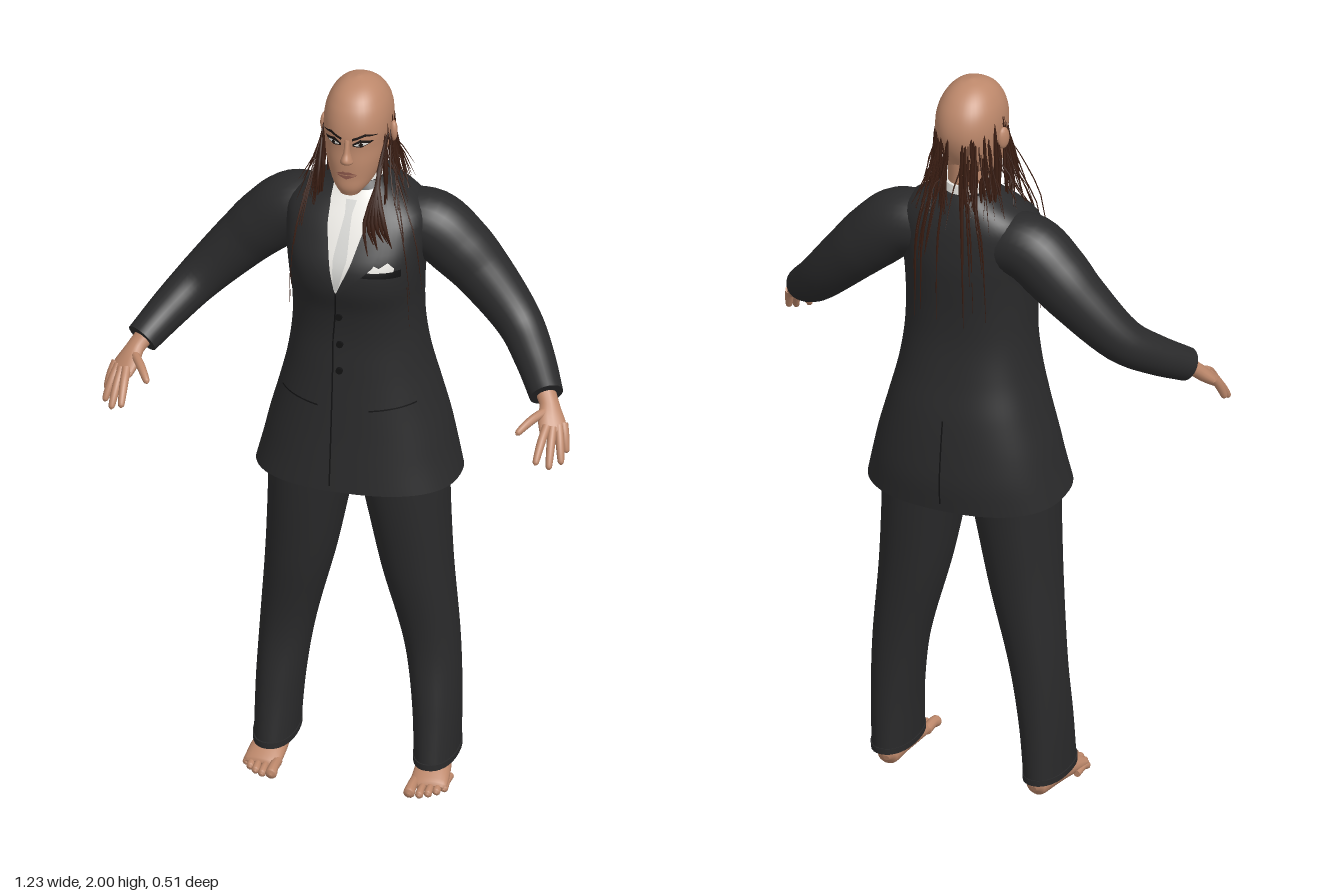
import * as THREE from 'three';

const mat = (name, color) => Object.assign(new THREE.MeshStandardMaterial({ color }), { name });
const V = (a) => new THREE.Vector3(...a);
const mirror = (p, s) => [p[0] * s, p[1], p[2]];

// Skin a list of closed rings, with flat caps on separate vertices
function skin(rings) {
  const n = rings[0].length, pos = [], idx = [];
  rings.forEach((r) => r.forEach((p) => pos.push(p.x, p.y, p.z)));
  for (let i = 0; i < rings.length - 1; i++) for (let j = 0; j < n; j++) {
    const a = i * n + j, b = i * n + (j + 1) % n;
    idx.push(a, b, a + n, b, b + n, a + n);
  }
  [rings[0], rings[rings.length - 1]].forEach((r, end) => {
    const base = pos.length / 3;
    const mid = r.reduce((s, p) => s.add(p), new THREE.Vector3()).divideScalar(n);
    [mid, ...r].forEach((p) => pos.push(p.x, p.y, p.z));
    for (let j = 0; j < n; j++) {
      const a = base + 1 + j, b = base + 1 + (j + 1) % n;
      idx.push(base, end ? a : b, end ? b : a);
    }
  });
  const g = new THREE.BufferGeometry();
  g.setAttribute('position', new THREE.Float32BufferAttribute(pos, 3));
  g.setIndex(idx);
  g.computeVertexNormals();
  return g;
}

// Smooth interpolation of rows [key, ...values]
function rowCurve(rows) {
  const size = rows[0].length - 1;
  const f = new THREE.CubicInterpolant(rows.map((r) => r[0]), rows.flatMap((r) => r.slice(1)), size, new Float32Array(size));
  return (k) => Array.from(f.evaluate(k));
}

// Upright loft; rows are [y, half width, front z, back z, centre x]
function loft(rows, { p = 2, n = 32, steps = 24, tilt = 0 } = {}) {
  const f = rowCurve(rows), y0 = rows[0][0], y1 = rows[rows.length - 1][0], rings = [];
  const pw = (v) => Math.sign(v) * Math.abs(v) ** (2 / p);
  for (let i = 0; i <= steps; i++) {
    const y = y0 + (y1 - y0) * i / steps, [rx, zf, zb, cx = 0] = f(y);
    rings.push(Array.from({ length: n }, (_, j) => {
      const a = j / n * Math.PI * 2;
      const z = (zf + zb) / 2 - (zf - zb) / 2 * pw(Math.sin(a));
      return new THREE.Vector3(cx + rx * pw(Math.cos(a)), y + tilt * (z + 0.06) * Math.max(0, 1 - (y - y0) / 0.15), z);
    }));
  }
  return skin(rings);
}

// Tube through points with a [width, thickness] at each one
function limb(pts, radii, { side = [1, 0, 0], n = 12, steps = 16 } = {}) {
  const curve = new THREE.CatmullRomCurve3(pts.map(V)), f = rowCurve(radii.map((r, i) => [i, ...[r].flat(), ...(r.length ? [] : [r])]));
  const rings = [];
  for (let i = 0; i <= steps; i++) {
    const t = i / steps, c = curve.getPoint(t), T = curve.getTangent(t), [w, h] = f(t * (pts.length - 1));
    const S = V(side).addScaledVector(T, -V(side).dot(T)).normalize(), N = T.clone().cross(S);
    rings.push(Array.from({ length: n }, (_, j) => {
      const a = j / n * Math.PI * 2;
      return c.clone().addScaledVector(S, w * Math.cos(a)).addScaledVector(N, h * Math.sin(a));
    }));
  }
  return skin(rings);
}

// Depth of the front (or back, dir = -1) of a loft at x, y
function surface(rows, p, dir = 1) {
  const f = rowCurve(rows);
  return (x, y) => {
    const [rx, zf, zb] = f(y);
    return (zf + zb) / 2 + dir * (zf - zb) / 2 * Math.max(0, 1 - Math.min(1, Math.abs(x / rx)) ** p) ** (1 / p);
  };
}

// Thin plate between two [x, y] outlines, laid on a surface
function patch(surf, A, B, lift = 0.004, dir = 1) {
  const at = (L, t) => {
    const k = Math.min(L.length - 2, Math.floor(t * (L.length - 1))), u = t * (L.length - 1) - k;
    return [0, 1].map((c) => L[k][c] + (L[k + 1][c] - L[k][c]) * u);
  };
  const g = new THREE.PlaneGeometry(1, 1, 8, 16), pos = g.attributes.position;
  for (let i = 0; i < pos.count; i++) {
    const u = pos.getX(i) + 0.5, t = 0.5 - pos.getY(i), a = at(A, t), b = at(B, t);
    const x = a[0] + (b[0] - a[0]) * u, y = a[1] + (b[1] - a[1]) * u;
    pos.setXYZ(i, x, y, surf(x, y) + lift * dir);
  }
  const a = at(A, 0.5), b = at(B, 0.5), c = at(A, 0.6);
  const area = (b[0] - a[0]) * (c[1] - a[1]) - (b[1] - a[1]) * (c[0] - a[0]);
  if (area * dir > 0) g.index.array.reverse();
  g.computeVertexNormals();
  return g;
}

const TORSO = [[0.86, 0.265, 0.13, -0.25], [0.93, 0.248, 0.122, -0.254], [1, 0.232, 0.114, -0.248], [1.1, 0.205, 0.104, -0.234],
  [1.2, 0.181, 0.095, -0.212], [1.3, 0.168, 0.09, -0.196], [1.38, 0.167, 0.1, -0.194], [1.46, 0.172, 0.124, -0.198],
  [1.52, 0.178, 0.122, -0.2], [1.58, 0.184, 0.09, -0.195], [1.63, 0.178, 0.055, -0.186], [1.665, 0.14, 0.025, -0.175],
  [1.69, 0.094, 0.003, -0.166], [1.712, 0.066, -0.012, -0.156]];
const HEAD = [[1.71, 0.026, 0.062, 0.005], [1.73, 0.046, 0.07, -0.06], [1.76, 0.064, 0.07, -0.115], [1.8, 0.076, 0.07, -0.142],
  [1.84, 0.082, 0.067, -0.16], [1.88, 0.086, 0.067, -0.167], [1.92, 0.083, 0.058, -0.16], [1.95, 0.073, 0.043, -0.144],
  [1.975, 0.056, 0.02, -0.12], [1.99, 0.037, -0.007, -0.095], [1.997, 0.02, -0.03, -0.075], [2, 0.004, -0.046, -0.056]];
const LEG = [[0.055, 0.054, 0.07, -0.145, 0.211], [0.2, 0.06, 0.045, -0.147, 0.206], [0.36, 0.069, 0.026, -0.151, 0.191], [0.6, 0.09, 0.054, -0.165, 0.152],
  [0.75, 0.102, 0.07, -0.176, 0.133], [0.85, 0.111, 0.077, -0.182, 0.121], [0.95, 0.115, 0.08, -0.19, 0.11]];

export function createModel() {
  const root = new THREE.Group();
  const suit = mat('suit black', 0x2a2a2b), seam = mat('seam black', 0x121213), flesh = mat('skin', 0xbd886b);
  const white = mat('shirt white', 0xe6e4df), tieGrey = mat('tie grey', 0xcfcfcc), hair = mat('hair brown', 0x3a1d12);
  const lip = mat('lips', 0x8f594c), dark = mat('eye dark', 0x1c1513);
  const add = (name, geo, m, parent = root) => {
    const mesh = new THREE.Mesh(geo, m);
    mesh.name = name;
    parent.add(mesh);
    return mesh;
  };
  const group = (name) => { const g = new THREE.Group(); g.name = name; root.add(g); return g; };
  const chest = surface(TORSO, 2.4), back = surface(TORSO, 2.4, -1), face = surface(HEAD, 2.2);
  const flip = (L, s) => L.map(([x, y]) => [x * s, y]);

  // Jacket, shirt front and tie
  add('jacket', loft(TORSO, { p: 2.4, n: 64, steps: 56, tilt: 0.055 }), suit);
  add('shirtFront', patch(chest, [[-0.056, 1.695], [-0.052, 1.62], [-0.034, 1.54], [-0.016, 1.455]], [[0.056, 1.695], [0.046, 1.62], [0.024, 1.54], [-0.012, 1.455]]), white);
  add('tie', patch(chest, [[-0.014, 1.675], [-0.01, 1.645], [-0.024, 1.55], [-0.018, 1.465]], [[0.014, 1.675], [0.008, 1.645], [0.013, 1.55], [-0.008, 1.465]], 0.007), tieGrey);
  add('shirtCollar', loft([[1.67, 0.07, 0.006, -0.154], [1.7, 0.063, -0.002, -0.15], [1.73, 0.058, -0.008, -0.145]], { tilt: -0.08, steps: 6 }), white);
  add('frontSeam', patch(chest, [[-0.016, 1.455], [-0.032, 1.3], [-0.032, 0.885]], [[-0.012, 1.455], [-0.028, 1.3], [-0.028, 0.885]], 0.002), seam);
  add('backVent', patch(back, [[-0.002, 1.1], [-0.002, 0.87]], [[0.002, 1.1], [0.002, 0.87]], 0.002, -1), seam);
  for (const y of [1.37, 1.285, 1.21]) {
    const b = add('button', new THREE.CylinderGeometry(0.009, 0.009, 0.008, 14), seam);
    b.rotation.x = Math.PI / 2;
    b.position.set(-0.012, y, chest(-0.012, y) + 0.003);
  }
  add('breastPocket', patch(chest, [[0.05, 1.525], [0.145, 1.52]], [[0.05, 1.508], [0.145, 1.5]]), seam);
  add('pocketSquare', patch(chest, [[0.06, 1.53], [0.08, 1.541], [0.095, 1.533], [0.115, 1.545], [0.13, 1.53]], [[0.06, 1.523], [0.13, 1.52]], 0.007), white);

  for (const s of [1, -1]) {
    const P = (pts) => pts.map((p) => mirror(p, s)), tag = s > 0 ? 'left' : 'right';
    const rim = s > 0 ? [[0.056, 1.69], [0.046, 1.62], [0.024, 1.54], [-0.012, 1.455]] : [[-0.056, 1.69], [-0.052, 1.62], [-0.034, 1.54], [-0.016, 1.455]];
    add(tag + 'Lapel', patch(chest, rim, flip([[0.085, 1.685], [0.105, 1.62], [0.085, 1.54], [s * -0.012, 1.45]], s), 0.008), suit);
    add(tag + 'CollarWing', patch(chest, flip([[0.008, 1.69], [0.02, 1.665], [0.04, 1.638]], s), flip([[0.055, 1.7], [0.055, 1.67], [0.046, 1.642]], s), 0.009), white);
    add(tag + 'PocketFlap', patch(chest, flip([[0.065, 1.128], [0.175, 1.14]], s), flip([[0.067, 1.108], [0.177, 1.118]], s), 0.007), suit);
    add(tag + 'PocketEdge', patch(chest, flip([[0.067, 1.108], [0.177, 1.118]], s), flip([[0.067, 1.104], [0.177, 1.114]], s), 0.007), seam);

    // Sleeve and cuff
    add(tag + 'Sleeve', limb(P([[0.09, 1.575, -0.09], [0.18, 1.57, -0.092], [0.25, 1.515, -0.093], [0.31, 1.455, -0.09], [0.42, 1.338, -0.055], [0.48, 1.277, 0.012], [0.533, 1.222, 0.092]]),
      [0.08, 0.088, 0.085, 0.076, 0.06, 0.052, 0.044], { side: [0, 0, 1], n: 28, steps: 36 }), suit);

    // Hand: palm, four fingers and thumb
    const hand = group(tag + 'Hand');
    add('palm', limb(P([[0.525, 1.23, 0.08], [0.545, 1.205, 0.108], [0.557, 1.18, 0.135], [0.571, 1.155, 0.16], [0.574, 1.148, 0.166]]),
      [[0.027, 0.024], [0.026, 0.02], [0.035, 0.019], [0.037, 0.014], [0.03, 0.007]], { side: [s * 0.7, 0, -0.5], n: 16 }), flesh, hand);
    const fingers = [[[0.592, 1.162, 0.139], [0.607, 1.105, 0.168]], [[0.583, 1.158, 0.153], [0.602, 1.089, 0.203]],
      [[0.569, 1.157, 0.168], [0.577, 1.086, 0.232]], [[0.553, 1.164, 0.177], [0.546, 1.105, 0.25]], [[0.538, 1.193, 0.137], [0.486, 1.166, 0.214]]];
    fingers.forEach(([a, b], i) => {
      const q = (t, up) => [a[0] + (b[0] - a[0]) * t, a[1] + (b[1] - a[1]) * t + up, a[2] + (b[2] - a[2]) * t];
      add(i < 4 ? 'finger' : 'thumb', limb(P([q(-0.15, 0), q(0.3, 0.006), q(0.65, 0.005), q(0.94, 0), q(1, -0.001)]), [0.012, 0.0115, 0.0105, 0.008, 0.002], { n: 10 }), flesh, hand);
    });

    // Trouser leg with hem
    const rows = LEG.map((r) => [...r.slice(0, 4), r[4] * s]);
    add(tag + 'TrouserLeg', loft(rows, { p: 2.2, n: 36, steps: 36 }), suit);
    add(tag + 'TrouserHem', loft([[0.05, 0.056, 0.073, -0.147, 0.211 * s], [0.066, 0.057, 0.072, -0.147, 0.211 * s]], { p: 2.2, steps: 2 }), suit);

    // Bare foot with five toes
    const foot = group(tag + 'Foot');
    add('sole', limb(P([[0.205, 0.03, -0.126], [0.206, 0.034, -0.115], [0.21, 0.042, -0.05], [0.216, 0.031, 0.03], [0.22, 0.017, 0.085], [0.221, 0.014, 0.093]]),
      [[0.008, 0.008], [0.027, 0.029], [0.036, 0.041], [0.047, 0.03], [0.048, 0.016], [0.04, 0.008]], { n: 20 }), flesh, foot);
    add('ankle', loft([[0.03, 0.034, 0.02, -0.11, 0.208 * s], [0.12, 0.032, -0.01, -0.1, 0.208 * s]], { n: 16, steps: 4 }), flesh, foot);
    for (let i = 0; i < 5; i++) {
      const x = [0.182, 0.207, 0.227, 0.245, 0.26][i], z = [0.142, 0.137, 0.126, 0.11, 0.09][i], r = i ? 0.0105 : 0.015;
      add('toe', limb(P([[x, r + 0.004, z - 0.07], [x, r + 0.006, z - 0.03], [x, r, z - 0.007], [x, r - 0.001, z]]), [r * 0.9, r * 0.9, r, 0.003], { n: 10 }), flesh, foot);
    }

    // Ear, brow, eye
    const ear = add(tag + 'Ear', new THREE.SphereGeometry(1, 14, 10), flesh);
    ear.scale.set(0.011, 0.03, 0.019);
    ear.position.set(s * 0.089, 1.85, -0.055);
    ear.rotation.y = s * 0.4;
    add(tag + 'Brow', patch(face, flip([[0.014, 1.882], [0.045, 1.893], [0.07, 1.883]], s), flip([[0.014, 1.875], [0.045, 1.886], [0.07, 1.881]], s)), dark);
    add(tag + 'EyeLiner', patch(face, flip([[0.015, 1.866], [0.034, 1.878], [0.062, 1.87]], s), flip([[0.015, 1.86], [0.036, 1.855], [0.062, 1.867]], s), 0.003), dark);
    add(tag + 'EyeWhite', patch(face, flip([[0.02, 1.864], [0.036, 1.87], [0.053, 1.866]], s), flip([[0.02, 1.862], [0.036, 1.859], [0.053, 1.864]], s), 0.004), white);
    add(tag + 'Iris', patch(face, flip([[0.031, 1.866], [0.036, 1.871], [0.041, 1.866]], s), flip([[0.031, 1.863], [0.036, 1.858], [0.041, 1.863]], s), 0.005), dark);
  }

  // Head, neck, nose and mouth
  add('head', loft(HEAD, { p: 2.2, n: 40, steps: 60 }), flesh);
  add('neck', loft([[1.64, 0.055, -0.012, -0.145], [1.7, 0.05, -0.015, -0.138], [1.8, 0.05, -0.005, -0.138]], { steps: 8 }), flesh);
  add('nose', loft([[1.804, 0.007, 0.073, 0.05], [1.811, 0.017, 0.086, 0.05], [1.82, 0.015, 0.092, 0.05], [1.84, 0.009, 0.082, 0.05], [1.875, 0.008, 0.07, 0.05]], { n: 16 }), flesh);
  add('upperLip', patch(face, [[-0.027, 1.778], [-0.008, 1.786], [0, 1.784], [0.008, 1.786], [0.027, 1.778]], [[-0.027, 1.777], [0, 1.777], [0.027, 1.777]], 0.006), lip);
  add('lowerLip', patch(face, [[-0.025, 1.775], [0, 1.775], [0.025, 1.775]], [[-0.025, 1.774], [0, 1.764], [0.025, 1.774]], 0.006), lip);

  // Loose hair strands hanging from the sides and back of the scalp
  const locks = group('hair');
  let seed = 7;
  const rnd = (a = 0, b = 1) => { seed = (seed * 16807) % 2147483647; return a + (b - a) * seed / 2147483647; };
  const strand = (pts, r) => add('strand', limb(pts, [r * 0.5, ...pts.slice(2).map(() => r), r * 0.15], { n: 5, steps: 8 }), hair, locks);
  const ring = (a, k, y) => [Math.sin(a) * 0.087 * k, y, -0.05 + Math.cos(a) * 0.117 * k];
  for (let i = 0; i < 84; i++) {
    const s = i % 2 ? 1 : -1, a = s * rnd(1.15, 2.95), thin = rnd() < 0.45, y = rnd(1.8, 1.91);
    const w = thin ? rnd(1.15, 1.4) : rnd(1, 1.12);
    strand([ring(a, 0.97, y), ring(a, 1.03, y - 0.05), ring(a + rnd(-0.1, 0.1), w, 1.75), ring(a + rnd(-0.15, 0.15), w * (thin ? 1.3 : 1.05), rnd(1.62, 1.7))], thin ? 0.0018 : rnd(0.003, 0.006));
  }
  for (let i = 0; i < 14; i++) {
    const s = i % 2 ? 1 : -1, x = s * rnd(0.02, 0.11), y = rnd(1.35, 1.55);
    strand([[x * 0.7, 1.82, -0.15], [x * 0.8, 1.7, -0.18], [x, 1.6, back(x, 1.6) - 0.004], [x * 1.1, y, back(x * 1.1, y) - 0.003]], rnd(0.002, 0.004));
    const e = s * rnd(0.12, 0.19), z = rnd(-0.12, 0.04);
    strand([[s * 0.085, 1.86, -0.04], [s * 0.105, 1.74, z], [e * 0.9, 1.6, z + 0.06], [e, rnd(1.32, 1.5), z + 0.06]], 0.0015);
  }
  for (let i = 0; i < 6; i++) {
    const x = 0.05 + i * 0.011, y = rnd(1.5, 1.6);
    strand([[0.086, 1.86, -0.02 + i * 0.004], [0.075, 1.75, 0.045], [x, 1.64, 0.085], [x + 0.015, y, chest(x + 0.015, y) + 0.006]], rnd(0.004, 0.007));
    strand([[-0.086, 1.86, -0.02], [-0.084 - i * 0.004, 1.75, 0.035 - i * 0.01], [-0.09 - i * 0.006, rnd(1.64, 1.68), 0.05 - i * 0.01]], rnd(0.002, 0.004));
  }
  return root;
}
